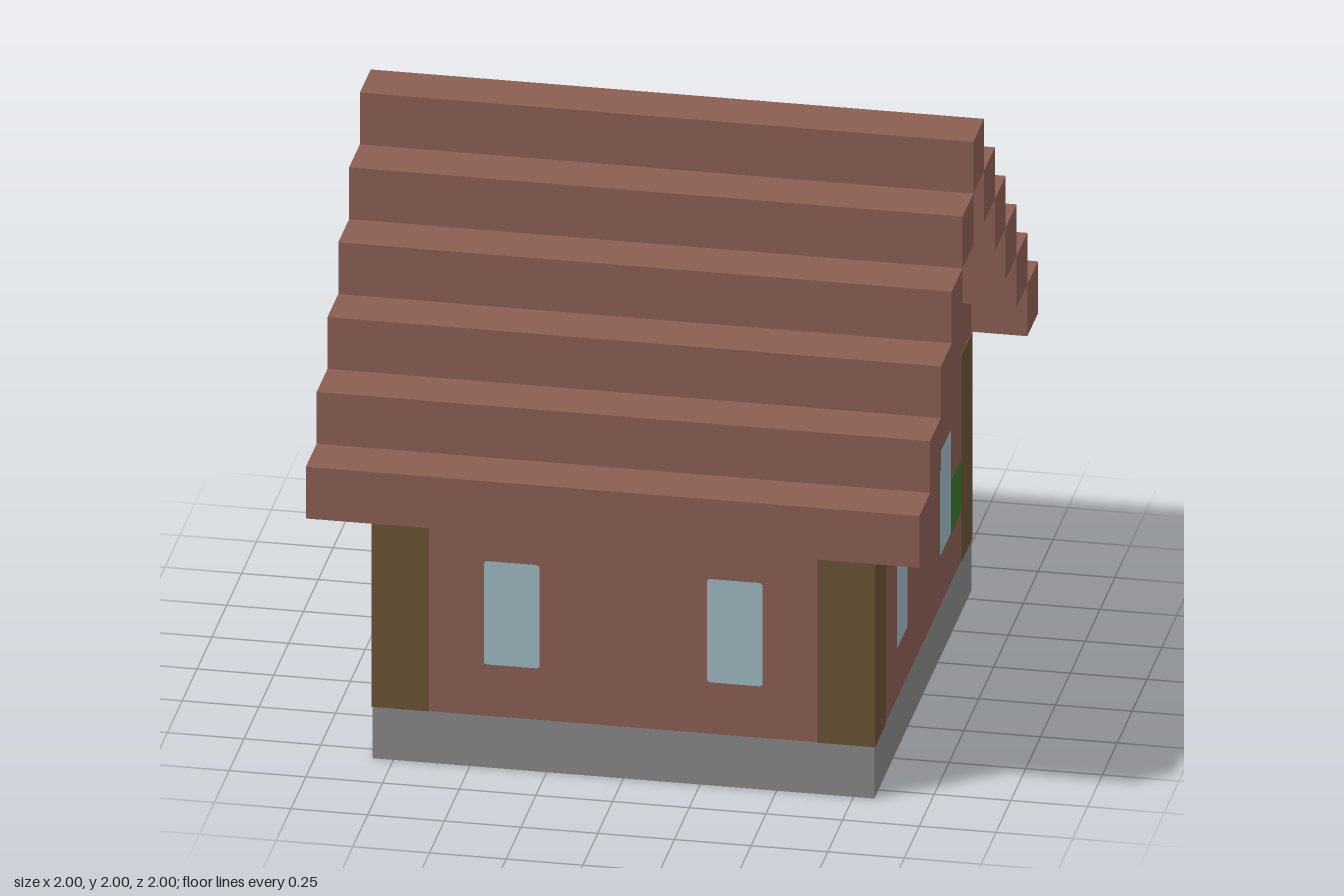
import * as THREE from 'three';

const U = 2 / 11; // one building block
const SKIN = 0.003; // lift of painted panels off the wall

const material = (name, color) => {
  const m = new THREE.MeshStandardMaterial({ color });
  m.name = name;
  return m;
};

// Rectangle with slightly softened corners, centred on the origin
function panelShape(w, h, r) {
  const x = w / 2, y = h / 2, s = new THREE.Shape();
  s.moveTo(-x + r, -y);
  s.lineTo(x - r, -y).quadraticCurveTo(x, -y, x, -y + r);
  s.lineTo(x, y - r).quadraticCurveTo(x, y, x - r, y);
  s.lineTo(-x + r, y).quadraticCurveTo(-x, y, -x, y - r);
  s.lineTo(-x, -y + r).quadraticCurveTo(-x, -y, -x + r, -y);
  return s;
}

export function createModel() {
  const house = new THREE.Group();
  house.name = 'house';
  const brick = material('brick', 0x8b5e53);
  const wood = material('wood', 0x6a5235);
  const stone = material('stone', 0x888888);
  const glass = material('glass', 0xa0b9c2);
  const leaf = material('leaf', 0x3a742d);

  const add = (name, geometry, mat, parent = house) => {
    const mesh = new THREE.Mesh(geometry, mat);
    mesh.name = name;
    parent.add(mesh);
    return mesh;
  };
  // Box sized and centred in block units
  const block = (name, mat, [w, h, d], [x, y, z], grow = 0) =>
    add(name, new THREE.BoxGeometry(w * U + grow, h * U, d * U + grow), mat)
      .position.set(x * U, y * U, z * U);

  block('foundation', stone, [9, 1, 9], [0, 0.5, 0]);

  // Walls with stepped gables, extruded from side to side
  const gable = new THREE.Shape();
  gable.moveTo(-4.5 * U, U);
  gable.lineTo(4.5 * U, U);
  for (let i = 0; i < 5; i++) {
    gable.lineTo((4.5 - i) * U, (i ? 5 + i : 5) * U);
    gable.lineTo((4.5 - i) * U, (6 + i) * U);
    gable.lineTo((3.5 - i) * U, (6 + i) * U);
  }
  for (let i = 4; i >= 0; i--) {
    gable.lineTo(-(3.5 - i) * U, (6 + i) * U);
    gable.lineTo(-(4.5 - i) * U, (6 + i) * U);
    if (i) gable.lineTo(-(4.5 - i) * U, (5 + i) * U);
  }
  const walls = new THREE.ExtrudeGeometry(gable, { depth: 9 * U, bevelEnabled: false });
  walls.translate(0, 0, -4.5 * U).rotateY(Math.PI / 2);
  add('walls', walls, brick);

  // Roof courses climbing from both eaves to the ridge
  for (let i = 0; i < 5; i++) {
    for (const s of [-1, 1]) block('roofCourse', brick, [11, 1, 1], [0, 5.5 + i, s * (5 - i)]);
  }
  block('roofRidge', brick, [11, 1, 1], [0, 10.5, 0]);

  // Corner posts
  for (const x of [-4, 4]) for (const z of [-4, 4]) {
    block('cornerPost', wood, [1, 4, 1], [x, 3, z], SKIN * 2);
  }

  // Each wall face: a pair of windows plus its own painted panels
  const faces = [
    { name: 'frontFace', angle: 0 },
    { name: 'rightFace', angle: Math.PI / 2, hedge: 3 },
    { name: 'backFace', angle: Math.PI, hedge: -3, log: true },
    { name: 'leftFace', angle: -Math.PI / 2 },
  ];
  const windowGeometry = new THREE.ShapeGeometry(panelShape(U, 2 * U, 0.012), 3);
  for (const { name, angle, hedge, log } of faces) {
    const face = new THREE.Group();
    face.name = name;
    face.rotation.y = angle;
    house.add(face);
    const panel = (label, geometry, mat, x, y) =>
      add(label, geometry, mat, face).position.set(x * U, y * U, 4.5 * U + SKIN);
    for (const x of [-2, 2]) panel('window', windowGeometry, glass, x, 3);
    if (hedge) panel('leafPanel', new THREE.PlaneGeometry(U, U), leaf, hedge, 2.5);
    if (log) panel('woodPanel', new THREE.PlaneGeometry(U, 2 * U), wood, 0, 2);
  }

  // Stone block jutting out above the wooden panel at the back
  block('stoneBlock', stone, [1, 1, 1], [0, 3.5, -5]);

  return house;
}
